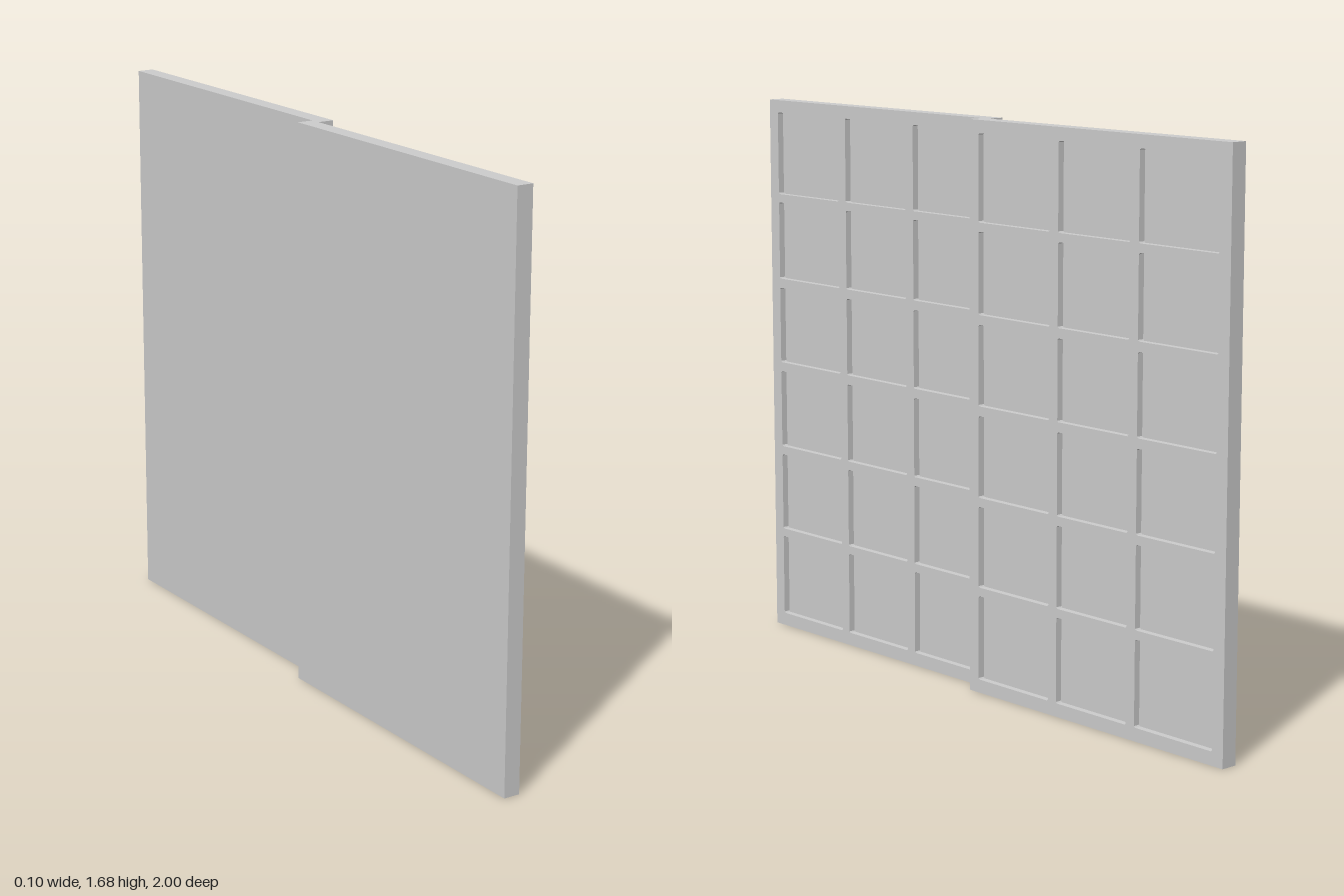
import * as THREE from 'three';

const WIDTH = 1.015, HEIGHT = 1.68, THICK = 0.05, RECESS = 0.02;
const COLUMNS = [[-0.468, -0.173], [-0.14, 0.14], [0.173, 0.468]];
const ROWS = [[0.04, 0.292], [0.318, 0.559], [0.586, 0.827], [0.856, 1.093], [1.122, 1.362], [1.388, 1.642]];

// Rectangle with tiny clipped corners
function cellPath(x0, x1, y0, y1, c = 0.004) {
  return new THREE.Path([
    [x0 + c, y0], [x1 - c, y0], [x1, y0 + c], [x1, y1 - c],
    [x1 - c, y1], [x0 + c, y1], [x0, y1 - c], [x0, y0 + c],
  ].map(([x, y]) => new THREE.Vector2(x, y)));
}

// One sliding panel: solid backing with a lattice on its +x face
function makePanel(name, material) {
  const panel = new THREE.Group();
  panel.name = name;

  const backing = new THREE.Mesh(new THREE.BoxGeometry(THICK - RECESS, HEIGHT, WIDTH), material);
  backing.name = 'backing';
  backing.position.set((THICK - RECESS) / 2, HEIGHT / 2, 0);

  const outline = new THREE.Shape([
    new THREE.Vector2(-WIDTH / 2, 0), new THREE.Vector2(WIDTH / 2, 0),
    new THREE.Vector2(WIDTH / 2, HEIGHT), new THREE.Vector2(-WIDTH / 2, HEIGHT),
  ]);
  for (const [x0, x1] of COLUMNS)
    for (const [y0, y1] of ROWS) outline.holes.push(cellPath(x0, x1, y0, y1));

  const geometry = new THREE.ExtrudeGeometry(outline, { depth: RECESS, bevelEnabled: false });
  geometry.rotateY(Math.PI / 2); // extrude along +x
  const lattice = new THREE.Mesh(geometry, material);
  lattice.name = 'lattice';
  lattice.position.x = THICK - RECESS;

  panel.add(backing, lattice);
  return panel;
}

export function createModel() {
  const group = new THREE.Group();
  group.name = 'slidingScreen';
  const material = new THREE.MeshStandardMaterial({ color: 0xcccccc, flatShading: true });

  // Two panels on neighbouring tracks, overlapping slightly at the centre
  const front = makePanel('frontPanel', material);
  front.position.set(-THICK, 0, 1 - WIDTH / 2);
  const back = makePanel('backPanel', material);
  back.position.set(0, 0, -1 + WIDTH / 2);

  group.add(front, back);
  return group;
}
